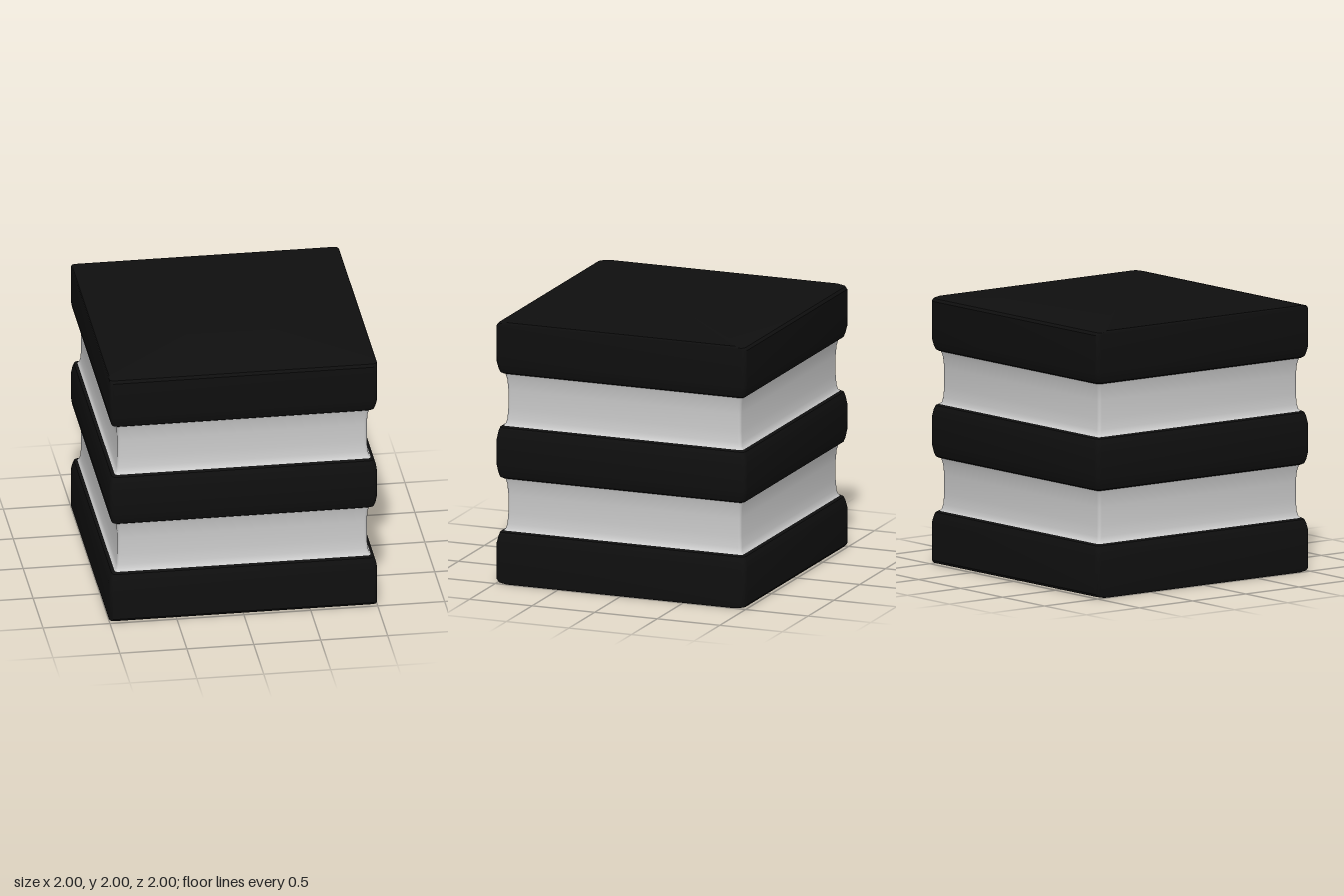
import * as THREE from 'three';
import { toCreasedNormals } from 'three/addons/utils/BufferGeometryUtils.js';

const black = new THREE.MeshStandardMaterial({ color: 0x0f0f0f });
const grey = new THREE.MeshStandardMaterial({ color: 0xcccccc });

// Rounded-square ring at height y with half sizes hx, hz and corner radius r
function ring([y, hx, hz], r, steps = 4) {
  const points = [];
  for (let q = 0; q < 4; q++) {
    const sx = q === 0 || q === 3 ? 1 : -1;
    const sz = q < 2 ? 1 : -1;
    for (let i = 0; i <= steps; i++) {
      const a = (q + i / steps) * Math.PI / 2;
      points.push([sx * (hx - r) + r * Math.cos(a), y, sz * (hz - r) + r * Math.sin(a)]);
    }
  }
  return points;
}

// Closed solid lofted through rings, listed from bottom to top
function loft(profile, r) {
  const rings = profile.map((section) => ring(section, r));
  const n = rings[0].length;
  const pos = [];
  const tri = (a, b, c) => pos.push(...a, ...b, ...c);
  const low = [0, profile[0][0], 0];
  const high = [0, profile[profile.length - 1][0], 0];
  const last = rings[rings.length - 1];
  for (let j = 0; j < n; j++) {
    const k = (j + 1) % n;
    for (let i = 0; i < rings.length - 1; i++) {
      const a = rings[i], b = rings[i + 1];
      tri(a[j], b[j], a[k]);
      tri(a[k], b[j], b[k]);
    }
    tri(low, rings[0][j], rings[0][k]);
    tri(high, last[k], last[j]);
  }
  const geometry = new THREE.BufferGeometry();
  geometry.setAttribute('position', new THREE.Float32BufferAttribute(pos, 3));
  return toCreasedNormals(geometry, 0.6);
}

// Profiles are rows of height, half width, half depth
const topSlab = [
  [1.6, 0.965, 0.965], [1.61, 0.98, 0.98], [1.64, 0.99, 0.99], [1.69, 1, 1],
  [1.97, 1, 1], [1.99, 1, 0.985], [2, 0.995, 0.94],
];
const middleSlab = [
  [0.8, 0.965, 0.965], [0.81, 0.98, 0.98], [0.84, 0.99, 0.99], [0.9, 1, 1],
  [1.1, 1, 1], [1.16, 0.99, 0.99], [1.19, 0.98, 0.98], [1.2, 0.965, 0.965],
];
const bottomSlab = topSlab.map(([y, hx, hz]) => [2 - y, hx, hz]).reverse();

// Recessed band with a shallow concave side
const band = [
  [0, 0.957, 0.957], [0.015, 0.945, 0.945], [0.05, 0.937, 0.937], [0.13, 0.932, 0.932],
  [0.27, 0.932, 0.932], [0.35, 0.938, 0.938], [0.4, 0.95, 0.95],
];

export function createModel() {
  const group = new THREE.Group();
  const add = (name, profile, material, r) => {
    const mesh = new THREE.Mesh(loft(profile, r), material);
    mesh.name = name;
    group.add(mesh);
    return mesh;
  };
  add('bottomSlab', bottomSlab, black, 0.035);
  add('middleSlab', middleSlab, black, 0.035);
  add('topSlab', topSlab, black, 0.035);
  add('lowerBand', band, grey, 0.025).position.y = 0.4;
  add('upperBand', band, grey, 0.025).position.y = 1.2;
  return group;
}
